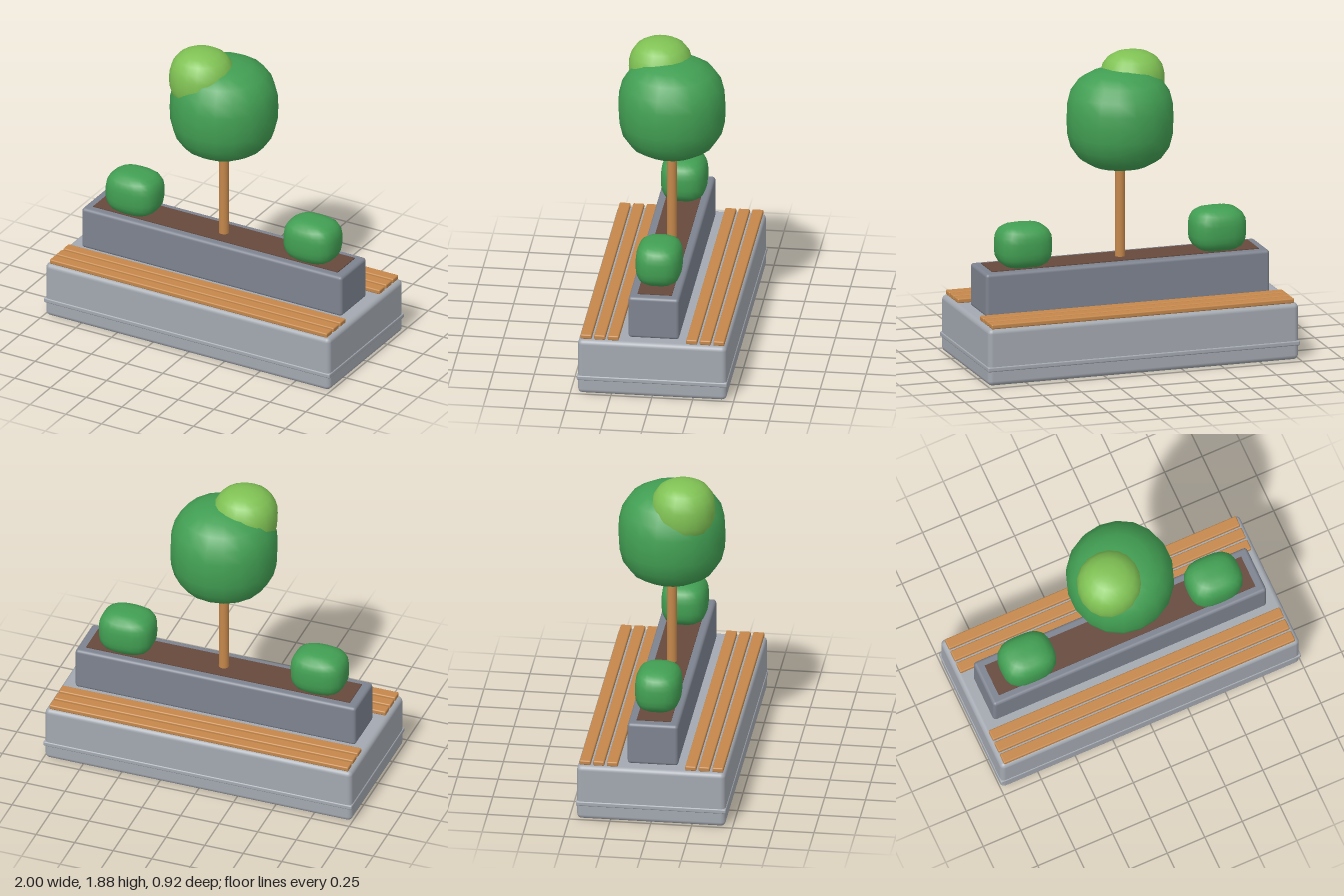
import * as THREE from 'three';
import { mergeVertices } from 'three/addons/utils/BufferGeometryUtils.js';
import { RoundedBoxGeometry } from 'three/addons/geometries/RoundedBoxGeometry.js';

const mat = (name, color) => {
  const m = new THREE.MeshStandardMaterial({ color });
  m.name = name;
  return m;
};

// Sphere pushed outward towards a box: vertical and horizontal squareness are set apart
function puff(rx, ry, rz, nV, nH, segs, rings) {
  let g = new THREE.SphereGeometry(1, segs, rings);
  g.rotateY(Math.PI / segs);
  g.deleteAttribute('uv');
  g.deleteAttribute('normal');
  g = mergeVertices(g, 1e-4);
  const p = g.attributes.position;
  for (let i = 0; i < p.count; i++) {
    const x = p.getX(i), y = p.getY(i), z = p.getZ(i);
    const h = Math.pow(Math.abs(x) ** nH + Math.abs(z) ** nH, 1 / nH);
    const k = Math.pow(h ** nV + Math.abs(y) ** nV, -1 / nV);
    p.setXYZ(i, x * k * rx, y * k * ry, z * k * rz);
  }
  g.computeVertexNormals();
  return g;
}

export function createModel() {
  const group = new THREE.Group();
  const stone = mat('light stone', 0xa3a8b0);
  const darkStone = mat('dark stone', 0x7d838f);
  const wood = mat('wood', 0xc4874a);
  const soil = mat('soil', 0x66493b);
  const leaf = mat('leaf green', 0x429f53);
  const lime = mat('lime green', 0x80c254);

  const add = (name, geometry, material, x, y, z) => {
    const m = new THREE.Mesh(geometry, material);
    m.name = name;
    m.position.set(x, y, z);
    group.add(m);
    return m;
  };
  const block = (w, h, d, r) => new RoundedBoxGeometry(w, h, d, 3, r);

  // Stone plinth with a thin projecting band
  add('base', block(1.99, 0.355, 0.91, 0.03), stone, 0, 0.1775, 0);
  add('baseBand', block(2, 0.03, 0.92, 0.008), stone, 0, 0.105, 0);

  // Bench slats on both long sides
  for (const side of [1, -1]) {
    for (let i = 0; i < 3; i++) {
      add('seatSlat', block(1.94, 0.03, 0.068, 0.008), wood, 0, 0.368, side * (0.24 + i * 0.083));
    }
  }

  // Planter box and soil
  add('planter', block(1.82, 0.27, 0.31, 0.02), darkStone, 0, 0.485, 0);
  add('soil', new THREE.BoxGeometry(1.71, 0.02, 0.21), soil, 0, 0.615, 0);

  // Shrubs at either end
  for (const side of [1, -1]) {
    add('shrub', puff(0.172, 0.135, 0.14, 3.2, 3, 24, 14), leaf, side * 0.622, 0.747, 0);
  }

  // Tree
  add('trunk', new THREE.CylinderGeometry(0.029, 0.032, 0.64, 16), wood, 0, 0.93, 0);
  add('crown', puff(0.328, 0.307, 0.328, 2.7, 2.05, 18, 12), leaf, 0, 1.488, 0);
  add('crownHighlight', puff(0.198, 0.185, 0.195, 2.6, 2.1, 18, 12), lime, -0.107, 1.697, 0.083);

  return group;
}
